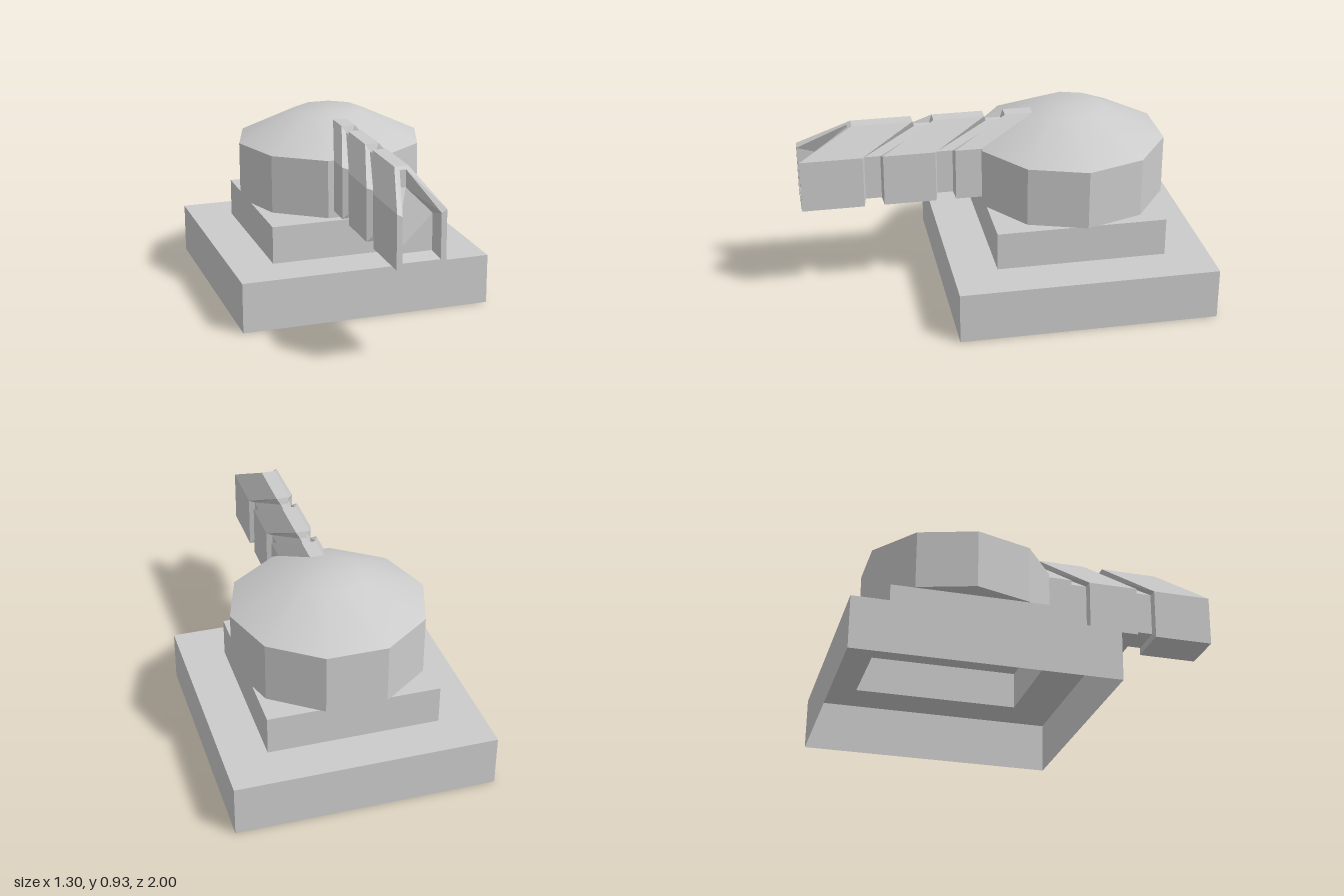
import * as THREE from 'three';

const flat = (side = THREE.FrontSide) =>
  new THREE.MeshStandardMaterial({ color: 0xcccccc, flatShading: true, side });

// Skin a list of equal-length loops; the first loop is closed with a cap.
function loft(rings) {
  const pos = [];
  const tri = (...pts) => pts.forEach((p) => pos.push(...p));
  const n = rings[0].length;
  for (let j = 1; j < n - 1; j++) tri(rings[0][0], rings[0][j], rings[0][j + 1]);
  for (let i = 0; i < rings.length - 1; i++) {
    for (let j = 0; j < n; j++) {
      const k = (j + 1) % n;
      const a = rings[i][j], b = rings[i][k], c = rings[i + 1][k], d = rings[i + 1][j];
      tri(a, d, b);
      tri(d, c, b);
    }
  }
  const geo = new THREE.BufferGeometry();
  geo.setAttribute('position', new THREE.Float32BufferAttribute(pos, 3));
  geo.computeVertexNormals();
  return geo;
}

// Horizontal rectangle at height y
const rect = (y, w, zFront, zBack) =>
  [[-w, y, zFront], [w, y, zFront], [w, y, zBack], [-w, y, zBack]];

// House-shaped barrel section whose gable leans back from z to zTop
const gable = (w, bottom, shoulder, a, top, z, zTop) => [
  [-w, bottom, z], [w, bottom, z], [w, shoulder, z],
  [a, top, zTop], [-a, top, zTop], [-w, shoulder, z],
];
const outer = (z, zTop) => gable(0.12, 0.515, 0.78, 0.035, 0.917, z, zTop);
const neck = (z, zTop) => gable(0.09, 0.542, 0.77, 0.016, 0.885, z, zTop);

export function createModel() {
  const model = new THREE.Group();
  const add = (name, geo, mat, x = 0, y = 0, z = 0) => {
    const mesh = new THREE.Mesh(geo, mat);
    mesh.name = name;
    mesh.position.set(x, y, z);
    model.add(mesh);
  };

  // Hollow two-step base, open underneath
  add('steppedBase', loft([
    rect(0.455, 0.43, 0.075, -0.78),
    rect(0.26, 0.43, 0.075, -0.78),
    rect(0.26, 0.65, 0.3, -1),
    rect(0, 0.65, 0.3, -1),
  ]), flat(THREE.DoubleSide));

  // Ten-sided turret drum with a smooth-shaded roof
  const cx = 0.007, cz = -0.365, r = 0.4875;
  add('turretDrum', new THREE.CylinderGeometry(r, r, 0.3, 10, 1, false, Math.PI / 2),
    flat(), cx, 0.63, cz);
  const roof = [[r, 0.78], [0.183, 0.925], [0, 0.925]].map((p) => new THREE.Vector2(...p));
  add('turretRoof', new THREE.LatheGeometry(roof, 10, Math.PI / 2),
    new THREE.MeshStandardMaterial({ color: 0xcccccc }), cx, 0, cz);

  // Barrel: muzzle recess, then three blocks joined by narrower necks
  add('barrel', loft([
    gable(0.09, 0.555, 0.735, 0.015, 0.82, 0.9, 0.75),
    gable(0.093, 0.545, 0.765, 0.016, 0.905, 1, 0.75),
    outer(1, 0.73), outer(0.69, 0.43),
    neck(0.68, 0.42), neck(0.6, 0.34),
    outer(0.59, 0.325), outer(0.33, 0.07),
    neck(0.32, 0.06), neck(0.24, -0.02),
    outer(0.23, -0.035), outer(-0.1, -0.3),
  ]), flat(), cx);

  return model;
}
